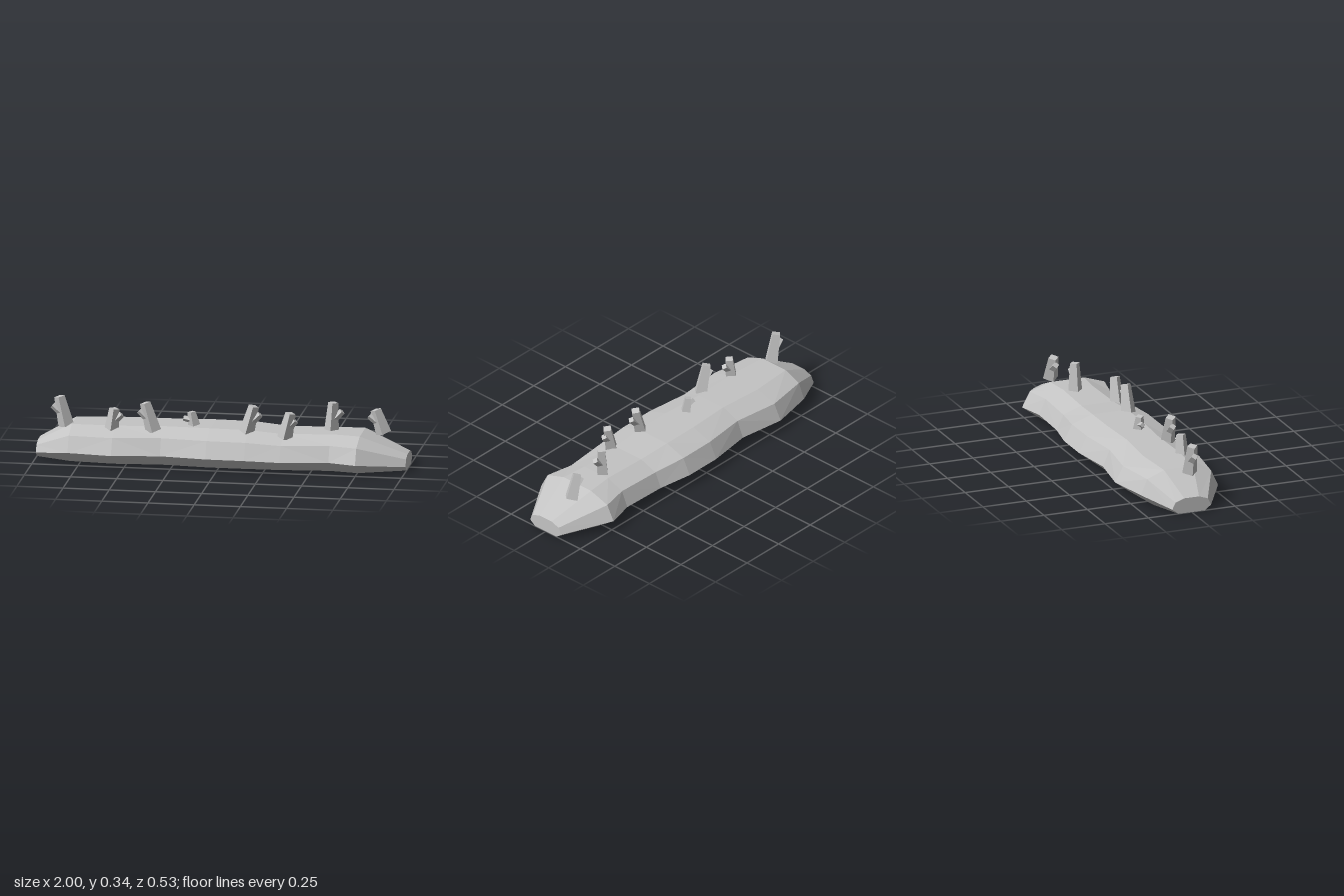
import * as THREE from 'three';

const stone = new THREE.MeshStandardMaterial({ color: 0xc4c4c4, flatShading: true });
stone.name = 'pale grey stone';

// Stations along the rock: x, front half-width, back half-width, height
const STATIONS = [
  [-1, 0.112, 0.112, 0.083], [-0.81, 0.23, 0.215, 0.187], [-0.57, 0.263, 0.265, 0.19],
  [-0.31, 0.232, 0.23, 0.195], [-0.06, 0.264, 0.265, 0.196], [0.15, 0.264, 0.265, 0.194],
  [0.34, 0.255, 0.23, 0.179], [0.6, 0.22, 0.225, 0.185], [0.75, 0.258, 0.262, 0.182],
  [1, 0.112, 0.112, 0.082],
];
// Half section as fractions of width and height, from the base up
const PROFILE = [[0.68, 0], [1, 0.33], [0.83, 0.79], [0.38, 1]];

function createRock() {
  const rings = STATIONS.map(([x, front, back, h]) => [
    ...PROFILE.map(([w, y]) => [x, y * h, w * front]),
    ...[...PROFILE].reverse().map(([w, y]) => [x, y * h, -w * back]),
  ]);
  const n = PROFILE.length * 2;
  const pos = [];
  const tri = (a, b, c) => pos.push(...a, ...b, ...c);
  for (let i = 0; i < rings.length - 1; i++) {
    for (let j = 0; j < n; j++) {
      const k = (j + 1) % n;
      const a = rings[i][j], b = rings[i + 1][j], c = rings[i + 1][k], d = rings[i][k];
      if (i % 2) { tri(a, b, c); tri(a, c, d); } else { tri(a, b, d); tri(b, c, d); }
    }
  }
  // Flat end caps
  const first = rings[0], last = rings[rings.length - 1];
  for (let j = 1; j < n - 1; j++) {
    tri(first[0], first[j], first[j + 1]);
    tri(last[0], last[j + 1], last[j]);
  }
  const geo = new THREE.BufferGeometry();
  geo.setAttribute('position', new THREE.Float32BufferAttribute(pos, 3));
  geo.computeVertexNormals();
  const mesh = new THREE.Mesh(geo, stone);
  mesh.name = 'rock';
  return mesh;
}

// Four-sided tapered prism between two points
function prism(name, from, to, r0, r1) {
  const dir = to.clone().sub(from);
  const mesh = new THREE.Mesh(new THREE.CylinderGeometry(r1, r0, dir.length(), 4), stone);
  mesh.position.copy(from).addScaledVector(dir, 0.5);
  mesh.quaternion.setFromUnitVectors(new THREE.Vector3(0, 1, 0), dir.normalize());
  mesh.name = name;
  return mesh;
}

// Spires: base x, base y, z, top x, top y, branch tip x, branch tip y, base radius
const SPIRES = [
  [-0.845, 0.17, 0.052, -0.882, 0.328, -0.917, 0.28, 0.043],
  [-0.59, 0.17, 0.112, -0.575, 0.288, -0.535, 0.257, 0.04],
  [-0.362, 0.175, 0.122, -0.407, 0.328, -0.437, 0.285, 0.043],
  [-0.155, 0.195, 0.04, -0.17, 0.268, -0.213, 0.232, 0.033],
  [0.137, 0.175, 0.102, 0.178, 0.328, 0.212, 0.285, 0.042],
  [0.348, 0.163, 0.122, 0.38, 0.302, 0.406, 0.262, 0.042],
  [0.578, 0.178, -0.025, 0.587, 0.333, 0.636, 0.286, 0.04],
  [0.855, 0.168, -0.055, 0.812, 0.295, 0.778, 0.262, 0.043],
];

function createSpire([x0, y0, z, x1, y1, bx, by, r]) {
  const group = new THREE.Group();
  group.name = 'spire';
  const base = new THREE.Vector3(x0, y0, z);
  const top = new THREE.Vector3(x1, y1, z);
  const root = base.clone().lerp(top, 0.35);
  group.add(prism('column', base, top, r, r * 0.68));
  group.add(prism('sideBranch', root, new THREE.Vector3(bx, by, z), r * 0.55, r * 0.45));
  return group;
}

export function createModel() {
  const model = new THREE.Group();
  model.name = 'spiredRock';
  model.add(createRock());
  SPIRES.forEach((s) => model.add(createSpire(s)));
  return model;
}
